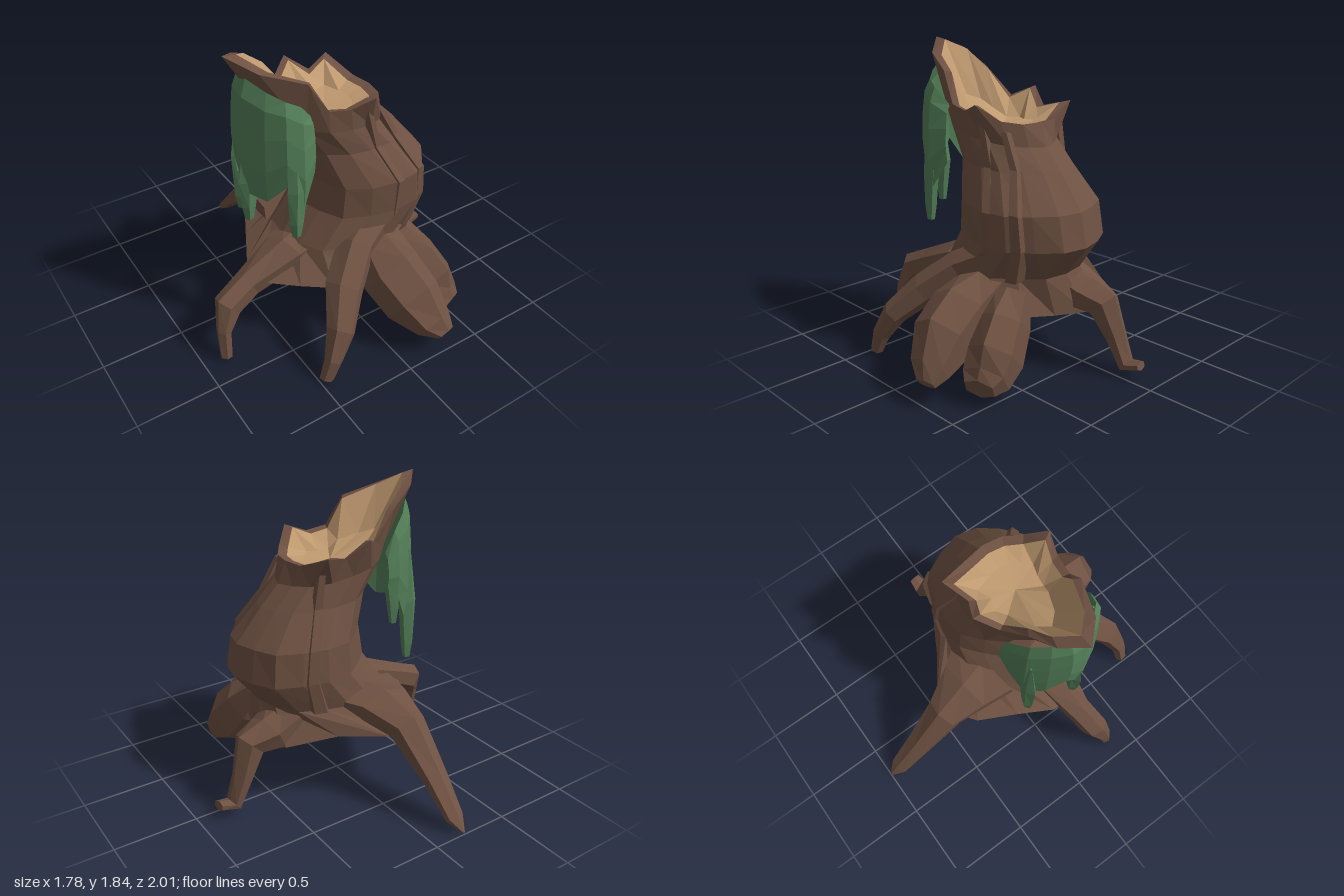
import * as THREE from 'three';

const V = (x, y, z) => new THREE.Vector3(x, y, z);
const bark = new THREE.MeshStandardMaterial({ color: 0x6e5142 });
bark.name = 'bark brown';
const wood = new THREE.MeshStandardMaterial({ color: 0xc09a70 });
wood.name = 'cut wood tan';
const moss = new THREE.MeshStandardMaterial({ color: 0x548059, side: THREE.DoubleSide });
moss.name = 'moss green';

// Faceted skin through a list of equally long rings of points
function loft(rings, closed = true) {
  const pos = [];
  const tri = (a, b, c) => {
    const area = b.clone().sub(a).cross(c.clone().sub(a)).length();
    if (area > 1e-7) for (const p of [a, b, c]) pos.push(p.x, p.y, p.z);
  };
  const n = rings[0].length;
  for (let j = 0; j + 1 < rings.length; j++) {
    for (let i = 0; i < (closed ? n : n - 1); i++) {
      const k = (i + 1) % n;
      const a = rings[j][i], b = rings[j][k], c = rings[j + 1][k], d = rings[j + 1][i];
      tri(a, d, c);
      tri(a, c, b);
    }
  }
  const g = new THREE.BufferGeometry();
  g.setAttribute('position', new THREE.Float32BufferAttribute(pos, 3));
  g.computeVertexNormals(); // unshared corners give flat facets
  return g;
}

const point = (p, n) => Array(n).fill(p);

// Tapering limb: stations are [x, y, z, half height, half width]
function limb(stations, sideways, n = 6) {
  const c = stations.map((s) => V(s[0], s[1], s[2]));
  const last = c.length - 1;
  const run = c[last].clone().sub(c[0]).setY(0).normalize();
  const side = sideways || V(-run.z, 0, run.x);
  const rings = c.map((p, j) => {
    const t = c[Math.min(j + 1, last)].clone().sub(c[Math.max(j - 1, 0)]).normalize();
    const up = side.clone().cross(t).normalize();
    return Array.from({ length: n }, (_, i) => {
      const a = ((i + 0.5) / n) * Math.PI * 2;
      return p.clone()
        .addScaledVector(side, Math.cos(a) * stations[j][4] * 1.08)
        .addScaledVector(up, Math.sin(a) * stations[j][3] * 1.08);
    });
  });
  return loft([point(c[0], n), ...rings, point(c[last], n)]);
}

export function createModel() {
  const group = new THREE.Group();
  const add = (name, geometry, material) => {
    const m = new THREE.Mesh(geometry, material);
    m.name = name;
    group.add(m);
  };
  const N = 16;

  // Flared base outline, running from the model's left towards the front
  const base = [
    [0.54, 0.33, 0.02], [0.48, 0.35, 0.22], [0.42, 0.38, 0.42], [0.28, 0.41, 0.52],
    [0.1, 0.42, 0.55], [-0.08, 0.42, 0.57], [-0.24, 0.4, 0.54], [-0.4, 0.41, 0.43],
    [-0.57, 0.41, 0.28], [-0.56, 0.43, 0.08], [-0.45, 0.45, -0.13], [-0.33, 0.44, -0.36],
    [-0.18, 0.43, -0.47], [-0.05, 0.44, -0.48], [0.2, 0.44, -0.31], [0.47, 0.38, -0.16],
  ].map((p) => V(...p));

  // Jagged broken rim, same order
  const rim = [
    [0.27, 1.42, 0.13], [0.25, 1.42, 0.25], [0.18, 1.44, 0.35], [0.08, 1.53, 0.45],
    [-0.05, 1.48, 0.41], [-0.18, 1.5, 0.39], [-0.29, 1.68, 0.36], [-0.52, 1.76, 0.26],
    [-0.65, 1.84, 0.12], [-0.54, 1.78, 0], [-0.38, 1.67, -0.05], [-0.22, 1.5, -0.11],
    [-0.1, 1.56, -0.2], [0.03, 1.46, -0.14], [0.19, 1.5, -0.2], [0.25, 1.42, 0],
  ].map((p) => V(...p));

  // Leaning trunk: [y, xMin, xMax, zMin, zMax, tilt]
  const rings = [
    [0.58, -0.34, 0.48, -0.25, 0.51, 0],
    [0.77, -0.21, 0.63, -0.24, 0.52, 0],
    [0.97, -0.19, 0.6, -0.22, 0.52, 0],
    [1.18, -0.26, 0.44, -0.14, 0.42, 0.05],
    [1.34, -0.38, 0.32, -0.13, 0.4, 0.15],
  ].map(([y, x0, x1, z0, z1, tilt], j) => Array.from({ length: N }, (_, i) => {
    const a = (i / N) * Math.PI * 2;
    const r = i % 4 === 0 ? 1 : 1 + 0.035 * Math.sin(i * 2.3 + j * 0.5);
    const dx = Math.cos(a) * r * (x1 - x0) / 2;
    return V((x0 + x1) / 2 + dx, y - dx * tilt, (z0 + z1) / 2 + Math.sin(a) * r * (z1 - z0) / 2);
  }));
  const lip = rim.map((p) => p.clone().lerp(V(-0.1, p.y - 0.08, 0.12), 0.15));
  add('trunk', loft([point(V(0.05, 0.48, 0.08), N), base, ...rings, rim, lip]), bark);

  // Shallow hollow at the top of the trunk
  const floor = V(-0.04, 1.37, 0.13);
  const bowl = lip.map((p) => p.clone().lerp(floor, 0.38).setY(1.385 + Math.max(0, p.y - 1.55) * 0.45));
  add('hollow', loft([lip, bowl, point(floor, N)]), wood);

  // Spreading roots
  add('rightRoot', limb([
    [-0.2, 0.55, 0.16, 0.06, 0.17], [-0.35, 0.51, 0.2, 0.085, 0.14], [-0.64, 0.39, 0.22, 0.08, 0.08],
    [-0.79, 0.32, 0.25, 0.09, 0.075], [-0.85, 0.19, 0.3, 0.04, 0.045], [-0.86, 0.015, 0.33, 0.035, 0.035],
  ]), bark);
  add('frontRoot', limb([
    [0.14, 0.66, 0.4, 0.1, 0.11], [-0.04, 0.57, 0.47, 0.1, 0.11], [-0.21, 0.43, 0.6, 0.09, 0.11],
    [-0.33, 0.28, 0.745, 0.07, 0.08], [-0.41, 0.13, 0.795, 0.05, 0.05], [-0.46, 0.01, 0.8, 0.035, 0.04],
  ]), bark);
  add('leftRoot', limb([
    [0.36, 0.52, 0, 0.06, 0.16], [0.5, 0.43, -0.02, 0.1, 0.14], [0.635, 0.395, -0.02, 0.095, 0.09],
    [0.71, 0.21, -0.05, 0.055, 0.065], [0.78, 0.055, -0.06, 0.04, 0.055], [0.88, 0.08, -0.065, 0.025, 0.04],
  ]), bark);
  add('backRoot', limb([
    [-0.08, 0.58, -0.12, 0.08, 0.27], [-0.13, 0.55, -0.3, 0.1, 0.19], [-0.17, 0.475, -0.5, 0.09, 0.115],
    [-0.19, 0.24, -0.75, 0.05, 0.08], [-0.195, 0.07, -0.92, 0.03, 0.06], [-0.2, 0.01, -1, 0.004, 0.006],
  ]), bark);

  // Two swollen root lobes at the front
  add('largeLobe', limb([
    [0.14, 0.53, 0.44, 0.09, 0.15], [0.13, 0.4, 0.6, 0.18, 0.175], [0.165, 0.29, 0.78, 0.175, 0.165],
    [0.22, 0.18, 0.92, 0.09, 0.115], [0.265, 0.13, 0.985, 0.03, 0.06],
  ]), bark);
  add('smallLobe', limb([
    [0.32, 0.5, 0.4, 0.08, 0.1], [0.365, 0.36, 0.5, 0.16, 0.13], [0.415, 0.21, 0.62, 0.18, 0.14],
    [0.445, 0.125, 0.72, 0.11, 0.13], [0.465, 0.1, 0.785, 0.06, 0.09],
  ]), bark);

  // Raised bark folds following the lean of the trunk, fading out towards the rim
  const fold = (name, pts) => add(name,
    limb(pts.map((p, i) => [...p, 0.052 - i * 0.006, 0.06 - i * 0.008]), V(1, 0, 0), 5), bark);
  fold('frontFold', [[0.06, 0.6, 0.45], [0.22, 0.74, 0.475], [0.23, 0.96, 0.49], [0.13, 1.18, 0.39], [0.07, 1.43, 0.385]]);
  fold('sideFold', [[0.34, 0.58, 0.41], [0.41, 0.78, 0.44], [0.4, 0.97, 0.45], [0.29, 1.18, 0.345], [0.19, 1.38, 0.325]]);
  fold('backFold', [[0.25, 0.58, -0.19], [0.3, 0.78, -0.195], [0.28, 0.97, -0.185], [0.2, 1.18, -0.1], [0.17, 1.41, -0.105]]);

  // Moss curtain hung around the leaning side: columns are [x, z, top, bottom]
  const columns = [
    [-0.26, 0.38, 1.48, 1.14], [-0.36, 0.43, 1.58, 0.97], [-0.45, 0.4, 1.62, 1.12],
    [-0.53, 0.31, 1.66, 1.0], [-0.6, 0.18, 1.71, 1.02], [-0.6, 0.08, 1.71, 1.2],
    [-0.54, -0.02, 1.7, 1.02], [-0.45, -0.11, 1.64, 0.95], [-0.35, -0.15, 1.55, 1.16], [-0.27, -0.15, 1.43, 1.22],
  ];
  const rows = [[0, 0.84], [0.14, 0.95], [0.4, 1], [0.7, 1.02], [1, 0.98]];
  add('mossCurtain', loft(rows.map(([t, s]) => columns.map(([x, z, y0, y1]) =>
    V(-0.3 + (x + 0.3) * s, y0 + (y1 - y0) * t, 0.13 + (z - 0.13) * s))), false), moss);

  // Hanging moss strands: [x, z, bottom]
  [[-0.39, 0.4, 0.77], [-0.47, -0.09, 0.7], [-0.56, 0.17, 0.82]].forEach(([x, z, y], i) =>
    add('mossStrand' + (i + 1), limb([
      [x, 1.42, z, 0.005, 0.01], [x, 1.08, z, 0.035, 0.06], [x - 0.01, y + 0.09, z, 0.03, 0.04], [x - 0.01, y, z, 0.02, 0.025],
    ], V(1, 0, 0), 5), moss));

  return group;
}
